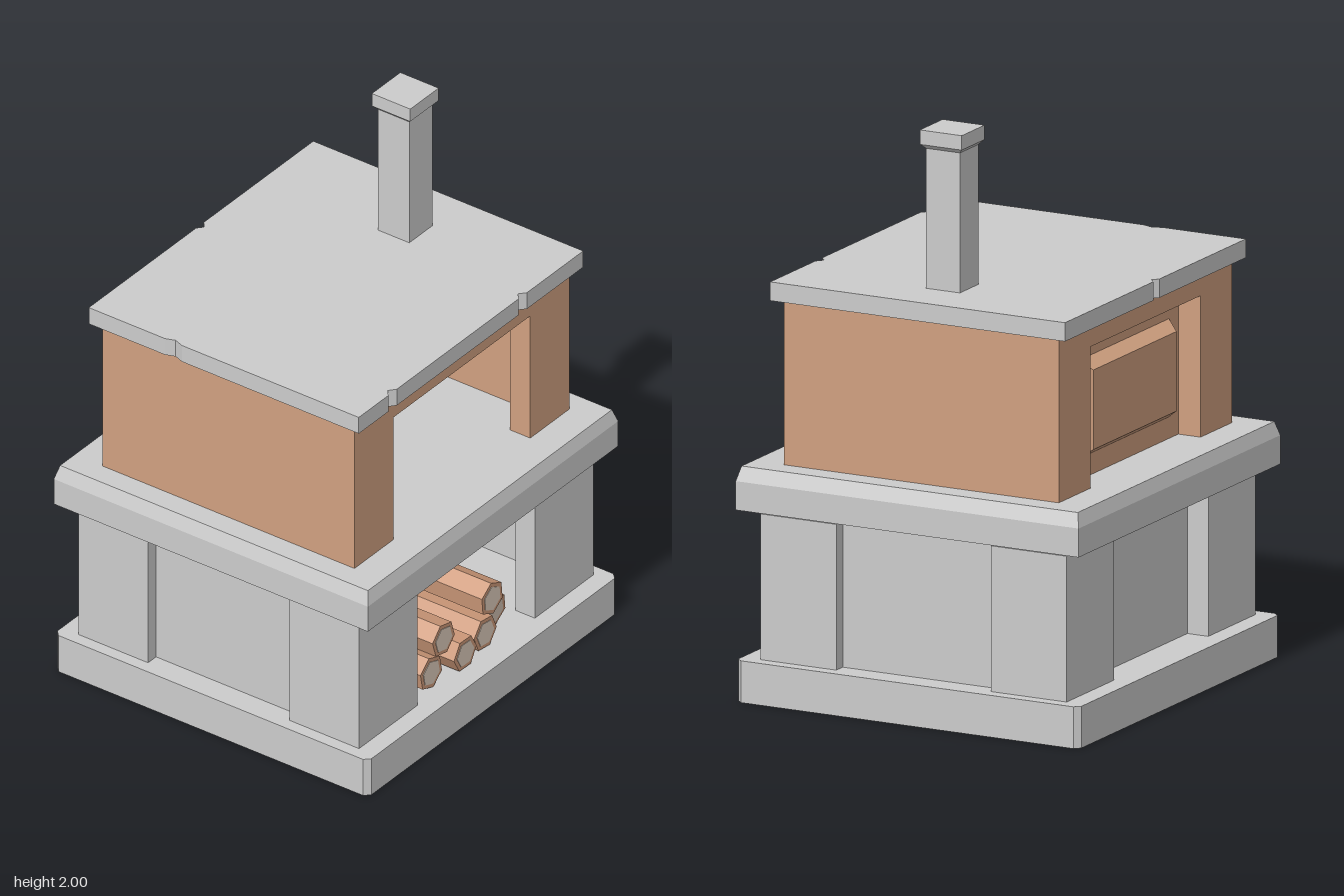
import * as THREE from 'three';

const material = (color) => new THREE.MeshStandardMaterial({ color, flatShading: true, side: THREE.DoubleSide });

export function createModel() {
  const model = new THREE.Group();
  const stone = material(0xcccccc);
  const brick = material(0xd0a080);
  const bark = material(0xcc9878);
  const cutWood = material(0xdccbbb);

  const add = (name, geometry, mat, parent = model) => {
    const mesh = new THREE.Mesh(geometry, mat);
    mesh.name = name;
    parent.add(mesh);
    return mesh;
  };
  // Box given by its minimum and maximum corners
  const box = (name, [x0, y0, z0], [x1, y1, z1], mat) => {
    const mesh = add(name, new THREE.BoxGeometry(x1 - x0, y1 - y0, z1 - z0), mat);
    mesh.position.set((x0 + x1) / 2, (y0 + y1) / 2, (z0 + z1) / 2);
    return mesh;
  };
  // Extruded outline of [x, y] points
  const extrude = (points, depth) => new THREE.ExtrudeGeometry(
    new THREE.Shape(points.map(([x, y]) => new THREE.Vector2(x, y))), { depth, bevelEnabled: false });
  // Horizontal slab from a plan outline of [x, -z] points
  const slab = (points, y0, y1) => extrude(points, y1 - y0).rotateX(-Math.PI / 2).translate(0, y0, 0);
  // Loft through rectangles [y, halfX, halfZ]
  const loft = (rings, closeStart = true) => {
    const corners = rings.map(([y, a, b]) => [[-a, y, b], [a, y, b], [a, y, -b], [-a, y, -b]]);
    const positions = [];
    const quad = (a, b, c, d) => positions.push(...a, ...b, ...c, ...a, ...c, ...d);
    for (let i = 0; i < corners.length - 1; i++) {
      for (let k = 0; k < 4; k++) {
        const n = (k + 1) % 4;
        quad(corners[i][k], corners[i][n], corners[i + 1][n], corners[i + 1][k]);
      }
    }
    quad(...corners[corners.length - 1]);
    if (closeStart) quad(...[...corners[0]].reverse());
    const geometry = new THREE.BufferGeometry();
    geometry.setAttribute('position', new THREE.Float32BufferAttribute(positions, 3));
    geometry.computeVertexNormals();
    return geometry;
  };

  // Plinth with clipped corners
  const [bx, bz, c] = [0.705, 0.655, 0.02];
  add('plinth', slab([
    [-bx + c, -bz], [bx - c, -bz], [bx, -bz + c], [bx, bz - c],
    [bx - c, bz], [-bx + c, bz], [-bx, bz - c], [-bx, -bz + c],
  ], 0, 0.145), stone);

  // L-shaped corner pillars
  for (const sx of [-1, 1]) {
    for (const sz of [-1, 1]) {
      const plan = [[0.66, 0.585], [0.33, 0.585], [0.33, 0.505], [0.575, 0.505], [0.575, 0.295], [0.66, 0.295]];
      add('cornerPillar', slab(plan.map(([x, z]) => [sx * x, sz * z]), 0.145, 0.65), stone);
    }
    // Recessed side panel
    box('sidePanel', [sx * 0.595 - 0.02, 0.145, -0.295], [sx * 0.595 + 0.02, 0.65, 0.295], stone);
  }
  box('backPanel', [-0.575, 0.145, -0.505], [0.575, 0.615, -0.47], stone);

  // Hearth slab with a bevelled top
  add('hearthSlab', loft([[0.665, 0.705, 0.655], [0.765, 0.705, 0.655], [0.815, 0.687, 0.642]]), stone);

  // Oven walls: arched front and back, plain sides
  const doorway = [
    [-0.605, 0.815], [-0.385, 0.815], [-0.385, 1.305], [0.385, 1.305],
    [0.385, 0.815], [0.605, 0.815], [0.605, 1.385], [-0.605, 1.385],
  ];
  add('ovenFront', extrude(doorway, 0.085).translate(0, 0, 0.44), brick);
  add('ovenBack', extrude(doorway, 0.085).translate(0, 0, -0.525), brick);
  for (const sx of [-1, 1]) {
    box('ovenSide', [sx * 0.5625 - 0.0425, 0.815, -0.44], [sx * 0.5625 + 0.0425, 1.385, 0.44], brick);
  }

  // Thin back plate, embossed outwards
  const plate = add('embossedBackPlate',
    loft([[0, 0.385, 0.245], [0, 0.32, 0.17], [0.045, 0.29, 0.138]], false), brick);
  plate.rotation.x = -Math.PI / 2;
  plate.position.set(0, 1.06, -0.44);

  // Roof slab with chips in its edges
  const [rx, rz] = [0.632, 0.563];
  add('roofSlab', slab([
    [-rx, -rz], [-0.465, -rz], [-0.442, -rz + 0.02], [-0.418, -rz],
    [0.268, -rz], [0.292, -rz + 0.02], [0.315, -rz],
    [rx, -rz], [rx, rz], [0.015, rz], [-0.007, rz - 0.018], [-0.028, rz],
    [-rx, rz], [-rx, 0.245], [-rx + 0.013, 0.21], [-rx, 0.175],
  ], 1.385, 1.45), stone);

  // Chimney with flared ends, reaching down into the oven
  const chimney = add('chimney', loft([
    [1.16, 0.08, 0.08], [1.28, 0.08, 0.08], [1.305, 0.065, 0.065],
    [1.935, 0.065, 0.065], [1.95, 0.08, 0.08], [2, 0.08, 0.08],
  ]), stone);
  chimney.position.x = 0.39;

  // Six-sided logs: front centre, back centre, radius, turn
  const logs = [
    [[-0.22, 0.207, 0.56], [-0.22, 0.207, -0.32], 0.064, 0.2],
    [[-0.055, 0.205, 0.58], [-0.055, 0.205, -0.3], 0.064, 0.5],
    [[-0.15, 0.305, 0.56], [-0.15, 0.305, -0.32], 0.064, 0.3],
    [[0.085, 0.205, 0.56], [0.085, 0.205, -0.32], 0.064, 0.4],
    [[0.11, 0.335, 0.57], [0.11, 0.335, -0.3], 0.064, 0.1],
    [[0.205, 0.21, 0.51], [0.22, 0.295, -0.33], 0.064, 0.2],
    [[-0.14, 0.175, 0.2], [-0.14, 0.175, -0.4], 0.03, 0],
  ];
  const up = new THREE.Vector3(0, 1, 0);
  for (const [front, back, radius, turn] of logs) {
    const a = new THREE.Vector3(...front);
    const b = new THREE.Vector3(...back);
    const length = a.distanceTo(b);
    const log = new THREE.Group();
    log.name = 'log';
    log.position.copy(a).lerp(b, 0.5);
    log.quaternion.setFromUnitVectors(up, a.clone().sub(b).normalize());
    add('logBark', new THREE.CylinderGeometry(radius, radius, length, 6).rotateY(turn), bark, log);
    add('logHeartwood', new THREE.CylinderGeometry(radius * 0.75, radius * 0.75, length + 0.004, 6).rotateY(turn), cutWood, log);
    model.add(log);
  }
  // Snapped branch on the upper log
  const twig = add('twig', new THREE.CylinderGeometry(0.008, 0.015, 0.06, 5), bark);
  twig.position.set(-0.215, 0.32, 0.4);
  twig.rotation.z = 1.3;

  return model;
}
